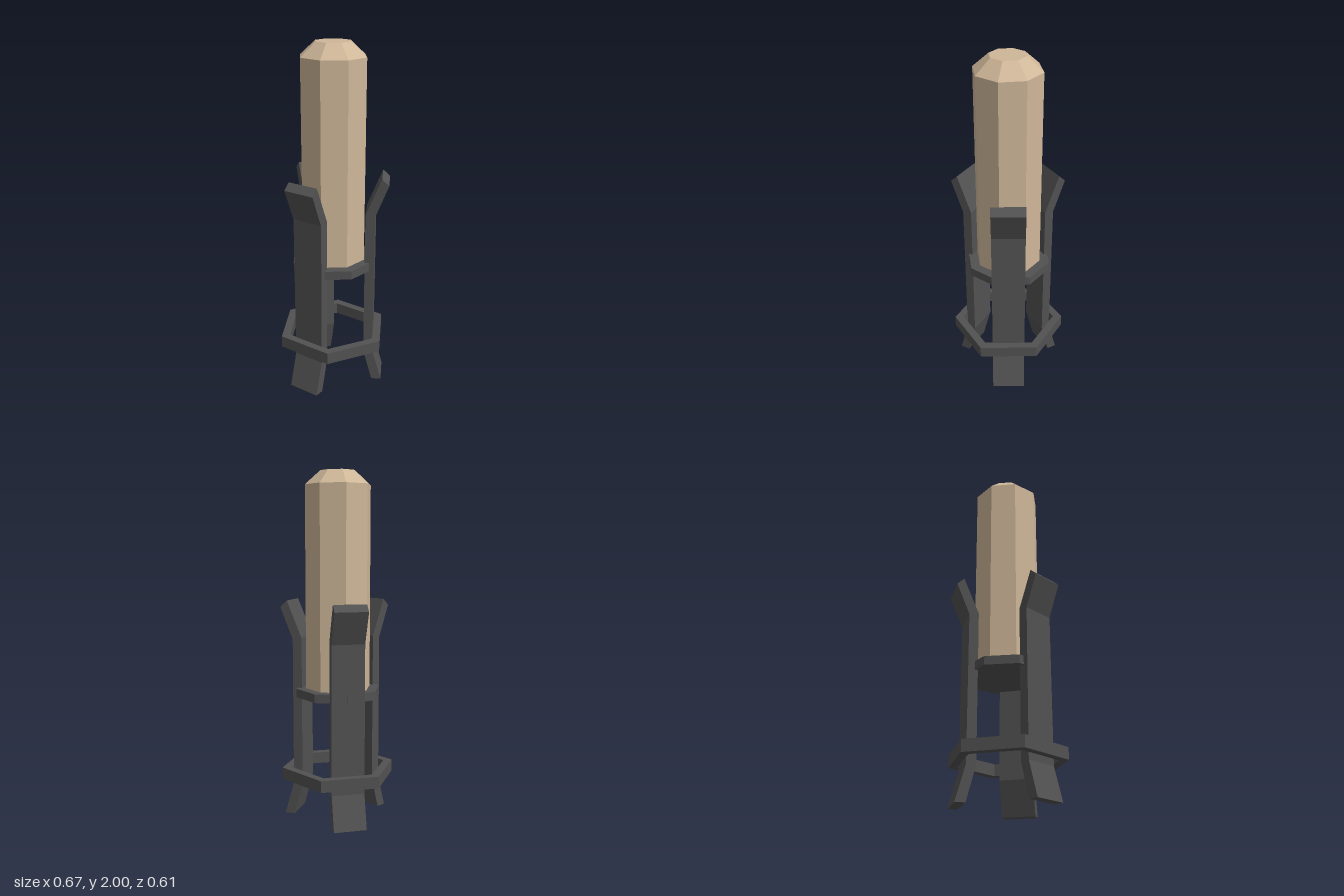
import * as THREE from 'three';

const mat = (name, color) => {
  const m = new THREE.MeshStandardMaterial({ color, flatShading: true });
  m.name = name;
  return m;
};

const polygon = (Type, radius, sides) => new Type(
  Array.from({ length: sides }, (_, i) => {
    const a = (i / sides) * Math.PI * 2;
    return new THREE.Vector2(radius * Math.cos(a), radius * Math.sin(a));
  })
);

export function createModel() {
  const model = new THREE.Group();
  const tan = mat('tan', 0xcfb799);
  const darkGrey = mat('dark grey', 0x525252);

  const add = (name, geometry, material) => {
    const mesh = new THREE.Mesh(geometry, material);
    mesh.name = name;
    mesh.position.z = 0.014;
    model.add(mesh);
    return mesh;
  };

  // Octagonal column with a chamfered top
  const profile = [[0, 0.765], [0.19, 0.765], [0.19, 1.922], [0.102, 2], [0, 2]]
    .map(([r, y]) => new THREE.Vector2(r, y));
  add('column', new THREE.LatheGeometry(profile, 8), tan);

  // Plate carrying the column
  const plate = new THREE.CylinderGeometry(0.248, 0.248, 0.05, 8);
  plate.translate(0, 0.743, 0);
  add('supportPlate', plate, darkGrey);

  // Hexagonal ring bracing the legs
  const hexagon = polygon(THREE.Shape, 0.333, 6);
  hexagon.holes.push(polygon(THREE.Path, 0.28, 6));
  const ring = new THREE.ExtrudeGeometry(hexagon, { depth: 0.068, bevelEnabled: false });
  ring.rotateX(-Math.PI / 2).translate(0, 0.235, 0);
  add('braceRing', ring, darkGrey);

  // Three bent legs, drawn as a side profile (radius, height)
  const legShape = new THREE.Shape([
    [0.243, 0], [0.3, 0], [0.245, 0.195], [0.245, 1.05],
    [0.319, 1.235], [0.279, 1.273], [0.191, 1.06], [0.191, 0.195],
  ].map(([r, y]) => new THREE.Vector2(r, y)));
  const leg = new THREE.ExtrudeGeometry(legShape, { depth: 0.19, bevelEnabled: false });
  leg.translate(0, 0, -0.095);
  [['backLeg', 90], ['leftLeg', -30], ['rightLeg', 210]].forEach(([name, degrees]) => {
    add(name, leg, darkGrey).rotation.y = THREE.MathUtils.degToRad(degrees);
  });

  return model;
}
